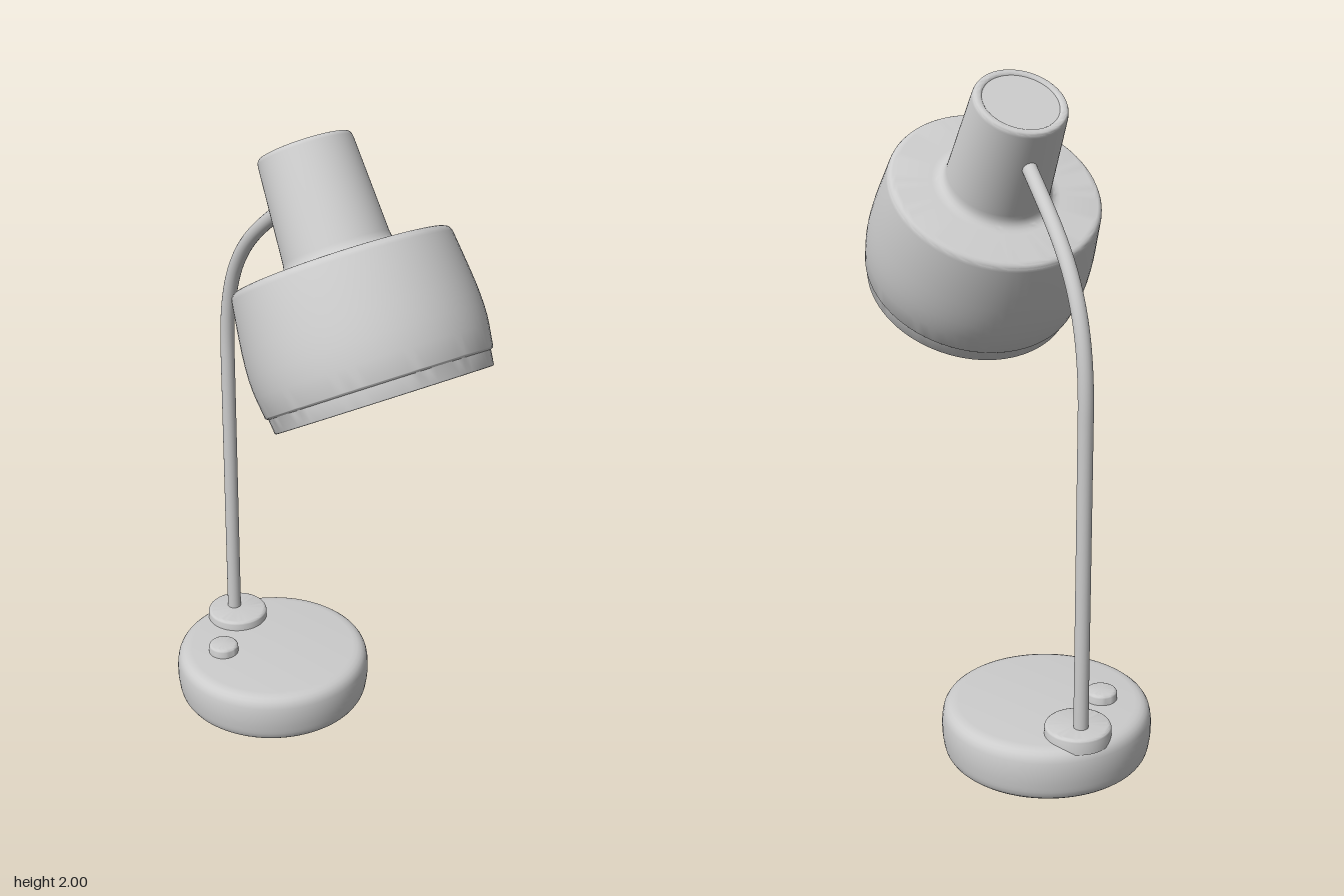
import * as THREE from 'three';
import { toCreasedNormals } from 'three/addons/utils/BufferGeometryUtils.js';

// Turns [radius, height, fillet] corners into a profile with softened corners.
function softProfile(corners, steps = 5) {
  const pts = corners.map(([r, y]) => new THREE.Vector2(r, y));
  const out = [];
  corners.forEach(([, , fillet], i) => {
    const p = pts[i];
    if (!fillet || i === 0 || i === pts.length - 1) {
      out.push(p);
      return;
    }
    const toward = (q) => p.clone().add(q.clone().sub(p).setLength(Math.min(fillet, p.distanceTo(q) * 0.49)));
    const curve = new THREE.QuadraticBezierCurve(toward(pts[i - 1]), p, toward(pts[i + 1]));
    out.push(...curve.getPoints(steps));
  });
  return out;
}

function turned(name, corners, material, segments = 64) {
  const geometry = new THREE.LatheGeometry(softProfile(corners), segments);
  const mesh = new THREE.Mesh(toCreasedNormals(geometry, 0.6), material);
  mesh.name = name;
  return mesh;
}

export function createModel() {
  const grey = new THREE.MeshStandardMaterial({ color: 0xcccccc });
  grey.name = 'light grey';

  const lamp = new THREE.Group();
  lamp.name = 'deskLamp';

  // Round weighted base
  const base = turned('base', [
    [0, 0], [0.304, 0, 0.035], [0.318, 0.09, 0.06], [0.306, 0.167, 0.04], [0, 0.167],
  ], grey, 80);
  base.position.z = -0.268;
  lamp.add(base);

  // Collar under the stem, and the switch button
  const collar = turned('stemCollar', [
    [0, 0.15], [0.098, 0.15], [0.098, 0.197, 0.014], [0, 0.197],
  ], grey, 48);
  collar.position.z = -0.483;
  const button = turned('switchButton', [
    [0, 0.15], [0.048, 0.15], [0.048, 0.197, 0.014], [0, 0.197],
  ], grey, 32);
  button.position.set(-0.152, 0, -0.33);
  lamp.add(collar, button);

  // Stem: straight post that bends forward into the shade neck
  const path = new THREE.CurvePath();
  const bend = new THREE.Vector3(0, 1.15, -0.503);
  path.add(new THREE.LineCurve3(new THREE.Vector3(0, 0.17, -0.503), bend));
  path.add(new THREE.CubicBezierCurve3(
    bend,
    new THREE.Vector3(0, 1.52, -0.503),
    new THREE.Vector3(0, 1.6, -0.33),
    new THREE.Vector3(0, 1.785, -0.09),
  ));
  const stem = new THREE.Mesh(new THREE.TubeGeometry(path, 90, 0.022, 20), grey);
  stem.name = 'stem';
  lamp.add(stem);

  // Tilted head, with its origin at the centre of the shade opening
  const head = new THREE.Group();
  head.name = 'lampHead';
  head.position.set(0, 1.312, 0.315);
  head.rotation.x = -0.559;
  lamp.add(head);

  // Hollow shade: inner ceiling, inner wall, stepped rim, outer wall, neck, cap
  head.add(turned('shade', [
    [0, 0.385], [0.295, 0.385, 0.03], [0.328, 0.16, 0.08], [0.303, 0, 0.006],
    [0.316, 0, 0.005], [0.321, 0.044], [0.329, 0.049, 0.004],
    [0.345, 0.17, 0.11], [0.317, 0.404, 0.022],
    [0.156, 0.404, 0.035], [0.137, 0.733, 0.022],
    [0.115, 0.733, 0.003], [0.111, 0.728], [0, 0.728],
  ], grey, 80));

  // Socket and round bulb
  const socket = turned('bulbSocket', [
    [0, 0.27], [0.06, 0.27], [0.06, 0.39], [0, 0.39],
  ], grey, 32);
  const bulb = new THREE.Mesh(new THREE.SphereGeometry(0.122, 40, 24), grey);
  bulb.name = 'bulb';
  bulb.position.y = 0.195;
  head.add(socket, bulb);

  return lamp;
}
